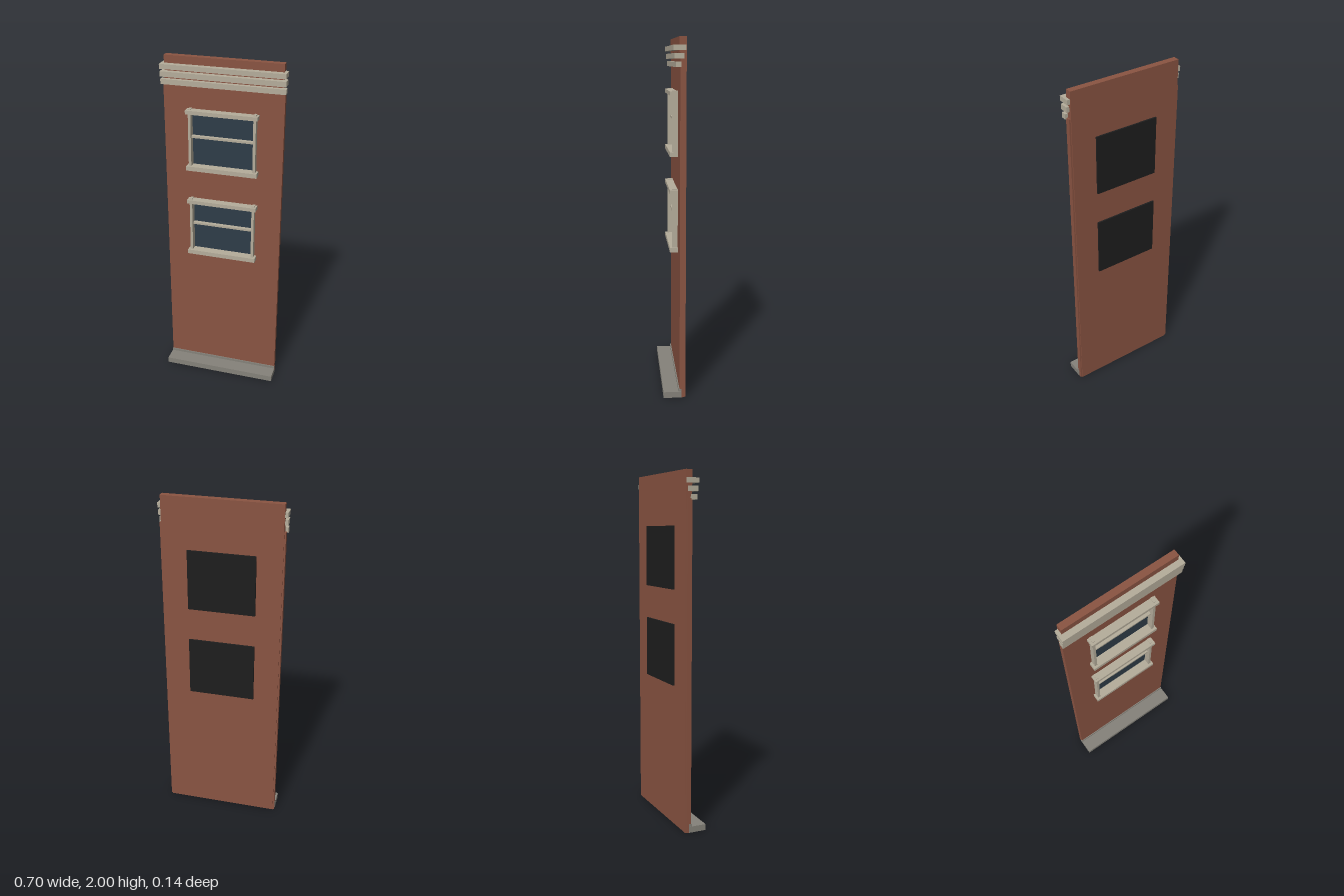
import * as THREE from 'three';

const material = (name, color) => {
  const m = new THREE.MeshStandardMaterial({ color });
  m.name = name;
  return m;
};

export function createModel() {
  const brick = material('brick', 0x8a5442);
  const trim = material('pale stone trim', 0xb5ad9b);
  const stone = material('grey stone', 0x85827a);
  const glass = material('window glass', 0x2e3d48);
  const backing = material('black backing', 0x1e1e1e);

  const model = new THREE.Group();
  model.name = 'facadePanel';

  // Box given by its extents on each axis
  const box = (parent, name, mat, [x0, x1], [y0, y1], [z0, z1]) => {
    const mesh = new THREE.Mesh(new THREE.BoxGeometry(x1 - x0, y1 - y0, z1 - z0), mat);
    mesh.position.set((x0 + x1) / 2, (y0 + y1) / 2, (z0 + z1) / 2);
    mesh.name = name;
    parent.add(mesh);
  };
  const rect = (path, w, y0, y1) =>
    path.moveTo(-w, y0).lineTo(w, y0).lineTo(w, y1).lineTo(-w, y1).closePath();

  const windowBases = [0.817, 1.358];

  // Brick wall with window openings
  const wallShape = rect(new THREE.Shape(), 0.332, 0, 1.92);
  for (const y of windowBases) wallShape.holes.push(rect(new THREE.Path(), 0.185, y + 0.01, y + 0.35));
  const wall = new THREE.Mesh(
    new THREE.ExtrudeGeometry(wallShape, { depth: 0.034, bevelEnabled: false }), brick);
  wall.position.z = -0.058;
  wall.name = 'wall';
  model.add(wall);
  box(model, 'parapet', brick, [-0.332, 0.332], [1.92, 2], [-0.058, -0.021]);

  // Narrow returns along both edges of the wall
  for (const s of [-1, 1]) {
    const xs = [s * 0.33, s * 0.341].sort((a, b) => a - b);
    box(model, 'edgeStrip', brick, xs, [0, 1.85], [-0.053, -0.024]);
  }

  // Stepped cornice, deeper towards the top
  const bands = [[1.843, 1.872, -0.03, 0], [1.886, 1.915, -0.045, 0.006], [1.93, 1.957, -0.054, 0.012]];
  for (const [y0, y1, z0, z1] of bands) {
    box(model, 'corniceBand', trim, [-0.349, 0.349], [y0, y1], [z0, z1]);
  }

  // Plinth and its low back step
  box(model, 'plinth', stone, [-0.343, 0.343], [0, 0.035], [-0.035, 0.067]);
  box(model, 'plinthStep', stone, [-0.342, 0.342], [0.035, 0.05], [-0.035, -0.018]);

  // Two identical sash windows
  for (const y of windowBases) {
    const win = new THREE.Group();
    win.name = 'window';
    win.position.y = y;
    model.add(win);
    box(win, 'sill', trim, [-0.205, 0.205], [0, 0.026], [-0.033, 0.021]);
    box(win, 'lintel', trim, [-0.205, 0.205], [0.333, 0.355], [-0.033, 0.021]);
    box(win, 'leftJamb', trim, [0.178, 0.193], [-0.003, 0.36], [-0.033, 0.008]);
    box(win, 'rightJamb', trim, [-0.193, -0.178], [-0.003, 0.36], [-0.033, 0.008]);
    box(win, 'meetingRail', trim, [-0.18, 0.18], [0.189, 0.201], [-0.033, -0.008]);
    box(win, 'pane', glass, [-0.184, 0.184], [0.012, 0.348], [-0.036, -0.03]);
    box(win, 'backingPanel', backing, [-0.191, 0.191], [0.003, 0.351], [-0.068, -0.057]);
  }
  return model;
}
